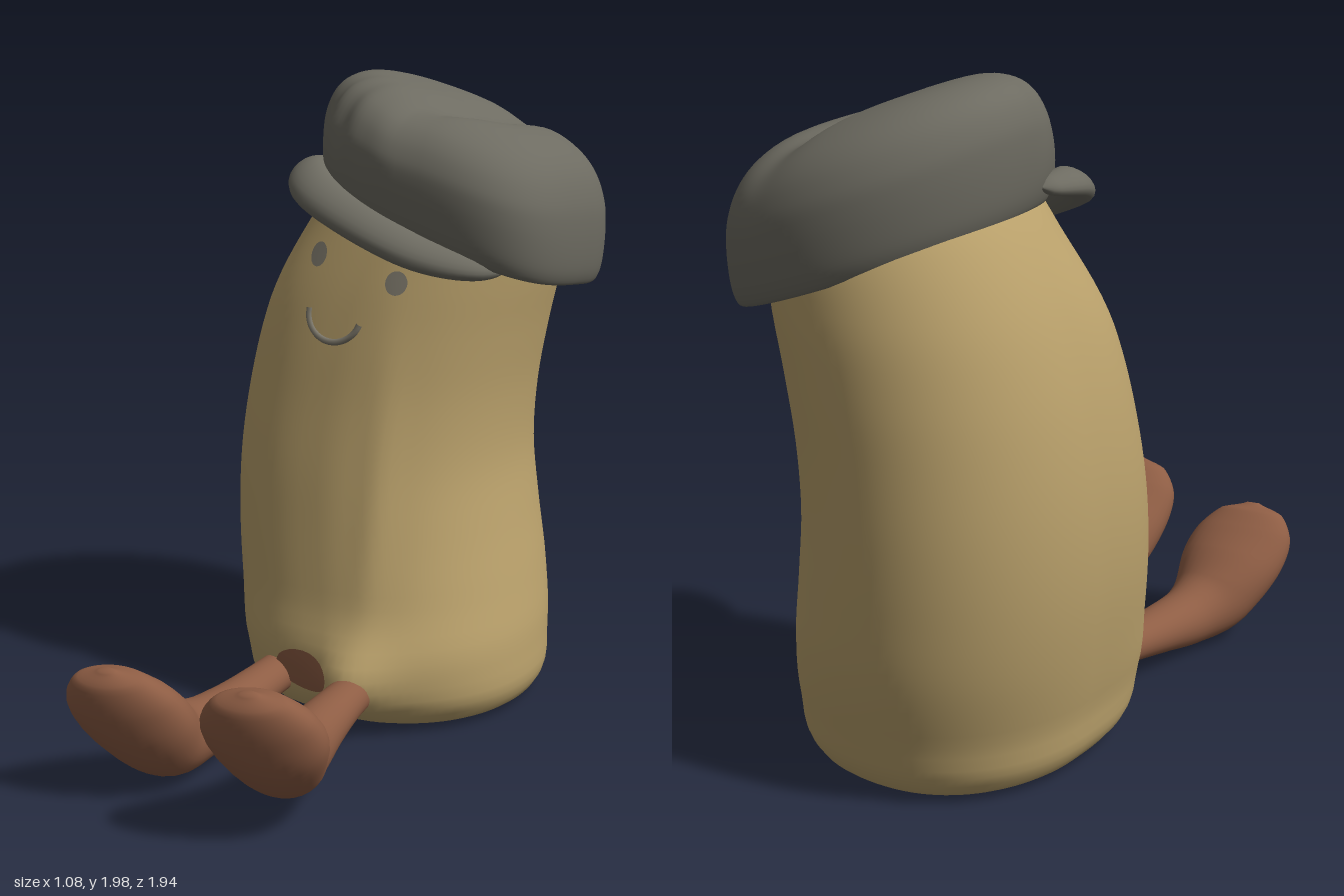
import * as THREE from 'three';

const mat = (name, color, side = THREE.FrontSide) => {
  const m = new THREE.MeshStandardMaterial({ color, side });
  m.name = name;
  return m;
};

// Skin a list of closed rings (arrays of Vector3) and close both ends.
function loft(rings) {
  const n = rings[0].length, pos = [], idx = [];
  rings.forEach(r => r.forEach(p => pos.push(p.x, p.y, p.z)));
  for (let i = 0; i < rings.length - 1; i++) {
    for (let j = 0; j < n; j++) {
      const a = i * n + j, b = i * n + (j + 1) % n;
      idx.push(a, a + n, b, b, a + n, b + n);
    }
  }
  [0, rings.length - 1].forEach((row, end) => {
    const c = new THREE.Vector3();
    rings[row].forEach(p => c.addScaledVector(p, 1 / n));
    const k = pos.length / 3;
    pos.push(c.x, c.y, c.z);
    for (let j = 0; j < n; j++) {
      const a = row * n + j, b = row * n + (j + 1) % n;
      end ? idx.push(k, b, a) : idx.push(k, a, b);
    }
  });
  const g = new THREE.BufferGeometry();
  g.setAttribute('position', new THREE.Float32BufferAttribute(pos, 3));
  g.setIndex(idx);
  g.computeVertexNormals();
  return g;
}

const { smoothstep, lerp } = THREE.MathUtils;
const spow = (v, n) => Math.sign(v) * Math.abs(v) ** (2 / n);
const bell = (v, c, w) => Math.exp(-(((v - c) / w) ** 2));
const ring = (n, f) => Array.from({ length: n }, (_, j) => f((j / n) * Math.PI * 2));

// Body profile: height, then left, right, back and front limits.
const BODY = [
  [0, -0.37, 0.36, -0.77, 0.0], [0.03, -0.42, 0.405, -0.81, 0.06], [0.2, -0.47, 0.43, -0.875, 0.14],
  [0.4, -0.51, 0.4, -0.92, 0.11], [0.6, -0.535, 0.36, -0.935, 0.08], [0.8, -0.54, 0.33, -0.94, 0.05],
  [1.0, -0.525, 0.335, -0.94, 0.015], [1.2, -0.49, 0.365, -0.94, -0.02], [1.4, -0.43, 0.405, -0.93, -0.065],
  [1.6, -0.335, 0.43, -0.885, -0.13], [1.7, -0.27, 0.39, -0.82, -0.18],
];
const profile = new THREE.CubicInterpolant(BODY.map(r => r[0]), BODY.flatMap(r => r.slice(1)), 4);
function section(y) {
  const [l, r, b, f] = profile.evaluate(y);
  return { cx: (l + r) / 2, rx: (r - l) / 2, cz: (b + f) / 2, rz: (f - b) / 2 };
}
// The front right corner is squarer than the rest, fading out under the cap
const squareness = (left, front, y) =>
  left && front ? lerp(2.9, 2.2, smoothstep(y, 1.25, 1.6)) : 2.1;
// Soft ridge down the front and a pulled-out bump around the left leg
const relief = (x, y) =>
  0.08 * bell(x, 0.07, 0.12) * bell(y, 0.17, 0.11) + 0.014 * bell(x, 0.09, 0.05) * bell(y, 0.75, 0.4);
function frontZ(x, y) {
  const s = section(y), u = Math.min(1, Math.abs((x - s.cx) / s.rx)), n = squareness(x < s.cx, true, y);
  return s.cz + s.rz * (1 - u ** n) ** (1 / n) + relief(x, y);
}
function bodyGeometry() {
  const ys = [0, 0.006, 0.015, 0.03, 0.06, 0.09];
  for (let y = 0.12; y < 1.71; y += 0.04) ys.push(Math.min(y, 1.7));
  return loft(ys.map(y => {
    const s = section(y);
    return ring(96, a => {
      const c = Math.cos(a), sn = Math.sin(a), n = squareness(c < 0, sn > 0, y);
      const x = s.cx + s.rx * spow(c, n);
      return new THREE.Vector3(x, y, s.cz + s.rz * spow(sn, n) + (sn > 0 ? relief(x, y) : 0));
    });
  }));
}

// Flat disc wrapped onto the front of the body
function decal(cx, cy, rx, ry, lift) {
  const g = new THREE.RingGeometry(0.001, 1, 24, 5), p = g.attributes.position;
  for (let i = 0; i < p.count; i++) {
    const x = cx + p.getX(i) * rx, y = cy + p.getY(i) * ry;
    p.setXYZ(i, x, y, frontZ(x, y) + lift);
  }
  g.computeVertexNormals();
  return g;
}

// Cap: slanted rings of [scale, height] with a square left front corner,
// a gathered right front corner and a dented top
function capGeometry() {
  const curve = new THREE.SplineCurve([
    [0.84, 0.02], [0.92, -0.01], [0.965, 0.02], [0.99, 0.08], [1.0, 0.17], [0.985, 0.25],
    [0.92, 0.325], [0.8, 0.375], [0.6, 0.405], [0.3, 0.41], [0.02, 0.405],
  ].map(p => new THREE.Vector2(...p)));
  return loft(curve.getPoints(44).map(({ x: s, y: h }) => ring(120, a => {
    const lift = smoothstep(h, 0.05, 0.36), c = Math.cos(a), sn = Math.sin(a);
    const n = c > 0 && sn > 0 ? 3.6 : 2.05;
    const fold = 1 - lift * bell(a, 2.35, 0.5) * (0.07 + 0.018 * Math.sin(a * 18));
    const x = 0.1 + 0.44 * s * fold * spow(c, n);
    const z = -0.51 + 0.46 * s * fold * spow(sn, n);
    const valley = 0.2 - 0.12 * smoothstep(z, -0.45, -0.1);
    const dent = 0.045 * bell(x, valley, 0.08) * bell(z, -0.5, 0.38)
      + 0.05 * bell(z, -0.02, 0.25) + 0.025 * bell(z, -0.95, 0.2) + 0.02 * bell(x, -0.35, 0.2);
    return new THREE.Vector3(x, 1.59 - 0.33 * x + 0.12 * z + h - dent * lift, z);
  })));
}

// Brim: flattened roll following the front of the rim
function brimGeometry() {
  const path = new THREE.CatmullRomCurve3([
    [-0.31, 1.69, -0.38], [-0.305, 1.685, -0.24], [-0.22, 1.64, -0.13], [-0.02, 1.56, -0.065],
    [0.18, 1.485, -0.06], [0.32, 1.45, -0.11], [0.39, 1.44, -0.2],
  ].map(p => new THREE.Vector3(...p)));
  const rings = [];
  for (let i = 0; i <= 40; i++) {
    const t = i / 40, p = path.getPoint(t), d = path.getTangent(t);
    const out = new THREE.Vector3(-d.z, 0, d.x).normalize();
    const up = new THREE.Vector3().crossVectors(d, out).negate().normalize();
    if (up.y < 0) up.negate();
    const k = 0.1 + 0.9 * Math.sin(Math.PI * t) ** 0.4;
    rings.push(ring(20, a => p.clone()
      .addScaledVector(out, 0.07 * k * Math.cos(a))
      .addScaledVector(up, (0.048 * Math.sin(a) - 0.02 * Math.cos(a)) * k)));
  }
  return loft(rings);
}

// Leg with upturned foot: [x, y, z, half width, half thickness] along its length
const LEG = [
  [0.06, 0.15, 0.0, 0.065, 0.06], [0.08, 0.148, 0.2, 0.067, 0.062], [0.11, 0.143, 0.4, 0.082, 0.077],
  [0.15, 0.15, 0.57, 0.098, 0.097], [0.18, 0.19, 0.7, 0.135, 0.115], [0.205, 0.28, 0.81, 0.166, 0.11],
  [0.21, 0.37, 0.88, 0.155, 0.085], [0.215, 0.44, 0.92, 0.1, 0.052], [0.217, 0.468, 0.93, 0.02, 0.012],
];
function legGeometry(rows) {
  const path = new THREE.CatmullRomCurve3(rows.map(r => new THREE.Vector3(r[0], r[1], r[2])));
  const size = new THREE.SplineCurve(rows.map(r => new THREE.Vector2(r[3], r[4])));
  const rings = [];
  for (let i = 0; i <= 48; i++) {
    const t = i / 48, p = path.getPoint(t), d = path.getTangent(t), s = size.getPoint(t);
    const down = new THREE.Vector3(0, -d.z, d.y).normalize();
    const slant = -0.22 * smoothstep(t, 0.45, 0.75);
    rings.push(ring(32, a => p.clone()
      .add(new THREE.Vector3(1, 0, slant).multiplyScalar(s.x * Math.cos(a)))
      .addScaledVector(down, s.y * Math.sin(a))));
  }
  return loft(rings);
}

export function createModel() {
  const group = new THREE.Group();
  const tan = mat('tan plush', 0xbba26c);
  const brown = mat('brown plush', 0x8e5d44);
  const grey = mat('grey felt', 0x6d6b61);
  const thread = mat('grey thread', 0x7c776a, THREE.DoubleSide);
  const add = (name, geometry, material) => {
    const m = new THREE.Mesh(geometry, material);
    m.name = name;
    group.add(m);
  };

  add('body', bodyGeometry(), tan);
  add('cap', capGeometry(), grey);
  add('capBrim', brimGeometry(), grey);

  // Legs: the right one sits a little lower and further back
  const rightX = [-0.22, -0.228, -0.232, -0.243, -0.258, -0.27, -0.28, -0.285, -0.285];
  add('leftLeg', legGeometry(LEG), brown);
  add('rightLeg', legGeometry(LEG.map((r, i) =>
    [rightX[i], r[1] - Math.min(i, 4) * 0.0135, r[2] - Math.min(i, 5) * 0.009, r[3], r[4]])), brown);
  add('legPatch', decal(-0.1, 0.19, 0.11, 0.065, 0.006), brown);

  // Face
  add('rightEye', decal(-0.185, 1.447, 0.033, 0.036, 0.006), thread);
  add('leftEye', decal(0.1, 1.385, 0.033, 0.036, 0.006), thread);
  const smile = [];
  for (let i = 0; i <= 16; i++) {
    const a = Math.PI * (0.97 + 0.93 * i / 16);
    const x = -0.095 + 0.093 * Math.cos(a), y = 1.28 + 0.085 * Math.sin(a);
    smile.push(new THREE.Vector3(x, y, frontZ(x, y) - 0.003));
  }
  add('smile', new THREE.TubeGeometry(new THREE.CatmullRomCurve3(smile), 40, 0.011, 8), thread);
  return group;
}
